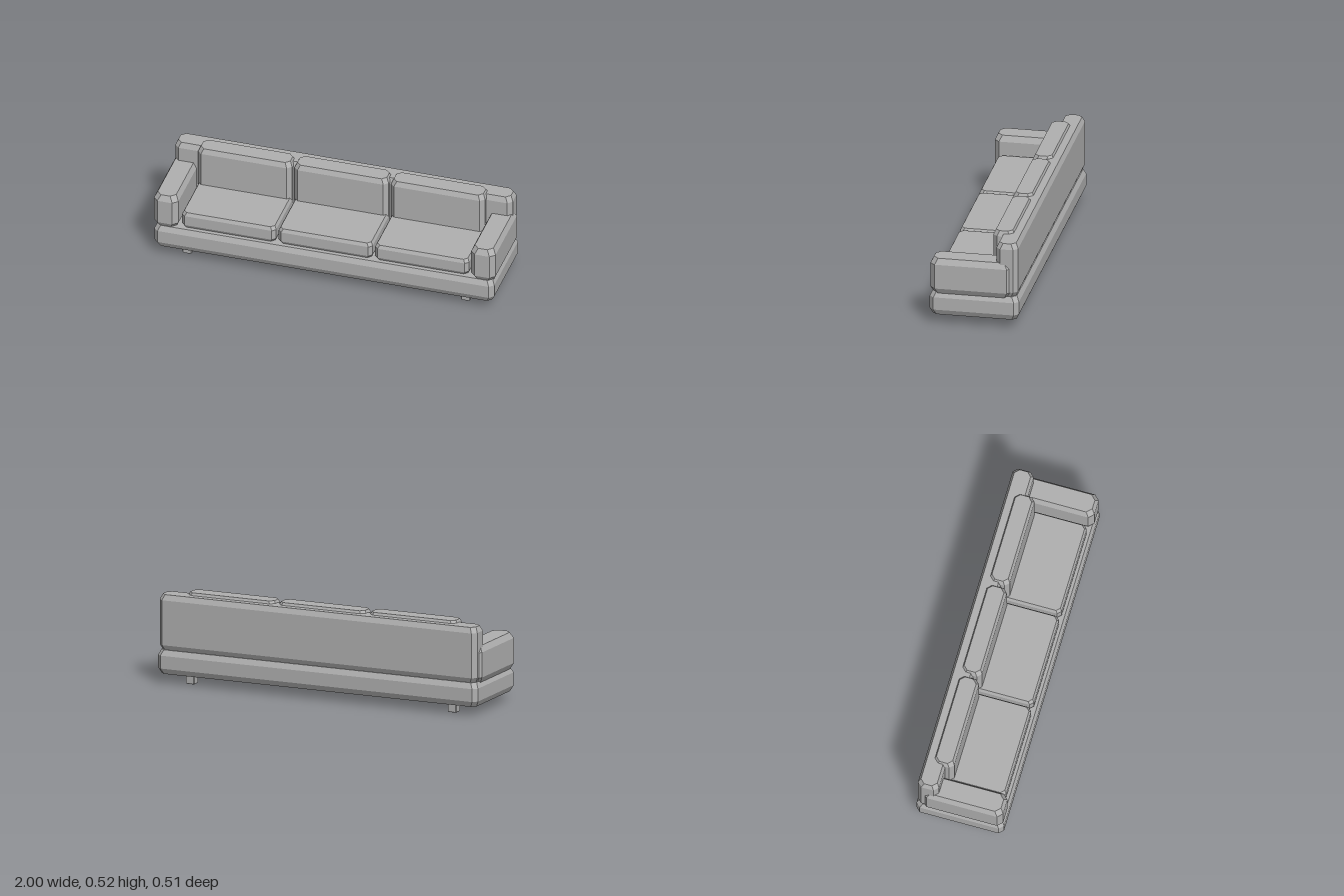
import * as THREE from 'three';
import { ConvexGeometry } from 'three/addons/geometries/ConvexGeometry.js';

const fabric = new THREE.MeshStandardMaterial({ color: 0xb0b0b0, flatShading: true });
fabric.name = 'grey fabric';

// Box with cut corners: c = cut of the upright edges, e and h = inset and height of the top and bottom bevels
function paddedBox(name, [x0, x1], [y0, y1], [z0, z1], c, e, h) {
  const points = [];
  const hx = (x1 - x0) / 2, hy = (y1 - y0) / 2, hz = (z1 - z0) / 2;
  for (const [y, inset] of [[-hy, e], [-hy + h, 0], [hy - h, 0], [hy, e]]) {
    const ax = hx - inset, az = hz - inset;
    for (const sx of [-1, 1]) {
      for (const sz of [-1, 1]) {
        points.push(new THREE.Vector3(sx * ax, y, sz * (az - c)));
        points.push(new THREE.Vector3(sx * (ax - c), y, sz * az));
      }
    }
  }
  const mesh = new THREE.Mesh(new ConvexGeometry(points), fabric);
  mesh.name = name;
  mesh.position.set((x0 + x1) / 2, (y0 + y1) / 2, (z0 + z1) / 2);
  return mesh;
}

export function createModel() {
  const sofa = new THREE.Group();
  sofa.name = 'sofa';

  // Base and backrest
  sofa.add(paddedBox('base', [-0.995, 0.995], [0.055, 0.193], [-0.255, 0.255], 0.025, 0.015, 0.032));
  sofa.add(paddedBox('backrest', [-0.988, 0.988], [0.19, 0.51], [-0.249, -0.126], 0.025, 0.014, 0.031));

  // Armrests
  sofa.add(paddedBox('leftArm', [0.857, 1], [0.183, 0.395], [-0.218, 0.25], 0.028, 0.017, 0.034));
  sofa.add(paddedBox('rightArm', [-1, -0.857], [0.183, 0.395], [-0.218, 0.25], 0.028, 0.017, 0.034));

  // Three pairs of cushions
  ['right', 'middle', 'left'].forEach((side, i) => {
    const x = (i - 1) * 0.565;
    const span = [x - 0.275, x + 0.275];
    sofa.add(paddedBox(side + 'SeatCushion', span, [0.19, 0.29], [-0.14, 0.224], 0.02, 0.01, 0.02));
    sofa.add(paddedBox(side + 'BackCushion', span, [0.22, 0.525], [-0.2, -0.079], 0.024, 0.013, 0.029));
  });

  // Legs
  for (const x of [-0.815, 0.815]) {
    for (const z of [-0.167, 0.167]) {
      const name = (z > 0 ? 'front' : 'back') + (x > 0 ? 'Left' : 'Right') + 'Leg';
      sofa.add(paddedBox(name, [x - 0.027, x + 0.027], [0, 0.06], [z - 0.027, z + 0.027], 0.004, 0.003, 0.005));
    }
  }
  return sofa;
}
